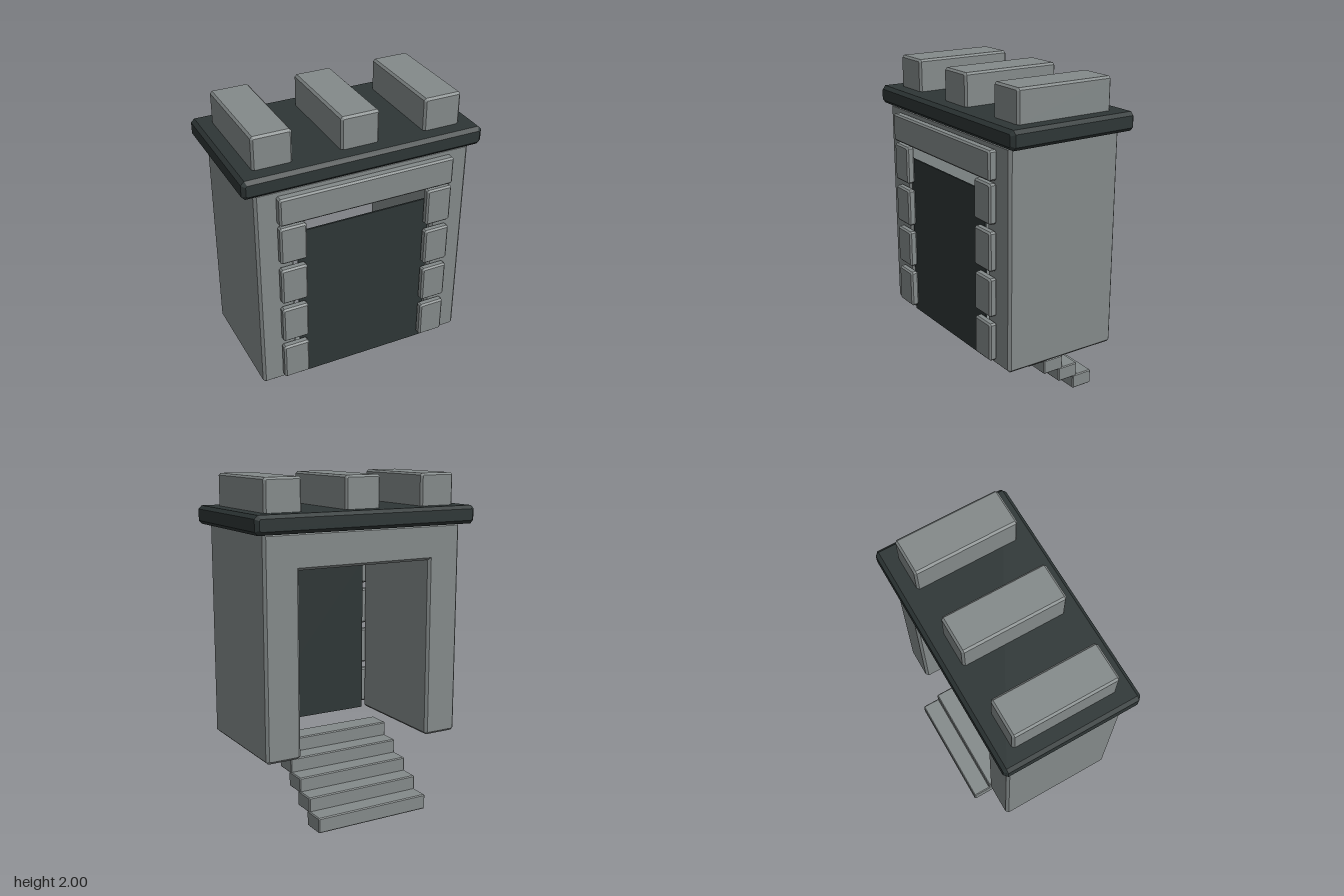
import * as THREE from 'three';

const stone = new THREE.MeshStandardMaterial({ color: 0x848a8a });
stone.name = 'grey stone';
const slate = new THREE.MeshStandardMaterial({ color: 0x2e3636 });
slate.name = 'dark slate';

// Extrudes an outline along z with a single chamfer that stays inside the outline
function chamferedExtrude(points, z0, z1, b) {
  const shape = new THREE.Shape(points.map(([x, y]) => new THREE.Vector2(x, y)));
  const geo = new THREE.ExtrudeGeometry(shape, {
    depth: z1 - z0 - 2 * b, bevelEnabled: true, bevelSegments: 1,
    bevelThickness: b, bevelSize: b, bevelOffset: -b,
  });
  return geo.translate(0, 0, z0 + b);
}

// Box given by its limits, with all edges chamfered by b
function block(name, material, [x0, x1], [y0, y1], [z0, z1], b) {
  const outline = [
    [x0 + b, y0], [x1 - b, y0], [x1, y0 + b], [x1, y1 - b],
    [x1 - b, y1], [x0 + b, y1], [x0, y1 - b], [x0, y0 + b],
  ];
  const mesh = new THREE.Mesh(chamferedExtrude(outline, z0, z1, b), material);
  mesh.name = name;
  return mesh;
}

export function createModel() {
  const model = new THREE.Group();
  model.name = 'gatehouse';

  // Walls and ceiling as one arch-shaped passage, open below and behind
  const c = 0.015, W = 0.64, I = 0.425, B = 0.43, T = 1.71, H = 1.5;
  const walls = new THREE.Mesh(chamferedExtrude([
    [-W + c, B], [-I - c, B], [-I, B + c], [-I, H], [I, H], [I, B + c],
    [I + c, B], [W - c, B], [W, B + c], [W, T], [-W, T], [-W, B + c],
  ], -0.34, 0.38, c), stone);
  walls.name = 'gateWalls';
  model.add(walls);

  // Dark door panel, leaving a slit under the lintel
  const door = new THREE.Mesh(new THREE.BoxGeometry(0.81, 0.99, 0.01), slate);
  door.name = 'door';
  door.position.set(0, 0.925, 0.374);
  model.add(door);

  // Roof slab and battlements
  model.add(block('roofSlab', slate, [-0.71, 0.706], [1.705, 1.812], [-0.396, 0.41], 0.02));
  for (const x of [-0.502, 0, 0.498]) {
    model.add(block('battlement', stone, [x - 0.113, x + 0.113], [1.80, 2.0], [-0.298, 0.312], 0.012));
  }

  // Door surround: lintel and stacked jamb stones
  model.add(block('lintel', stone, [-0.522, 0.522], [1.51, 1.675], [0.375, 0.43], 0.01));
  for (let i = 0; i < 4; i++) {
    const y = 0.468 + i * 0.267;
    model.add(block('rightJambStone', stone, [-0.522, -0.367], [y, y + 0.226], [0.379, 0.427], 0.01));
    model.add(block('leftJambStone', stone, [0.367, 0.522], [y, y + 0.226], [0.379, 0.427], 0.01));
  }

  // Steps descending towards the back
  const stairs = new THREE.Group();
  stairs.name = 'stairs';
  for (let i = 0; i < 5; i++) {
    const y = i * 0.0835, z = -0.43 + i * 0.1125;
    stairs.add(block('step', stone, [-0.367, 0.365], [y, y + 0.091], [z, z + 0.14], 0.006));
  }
  model.add(stairs);

  return model;
}
